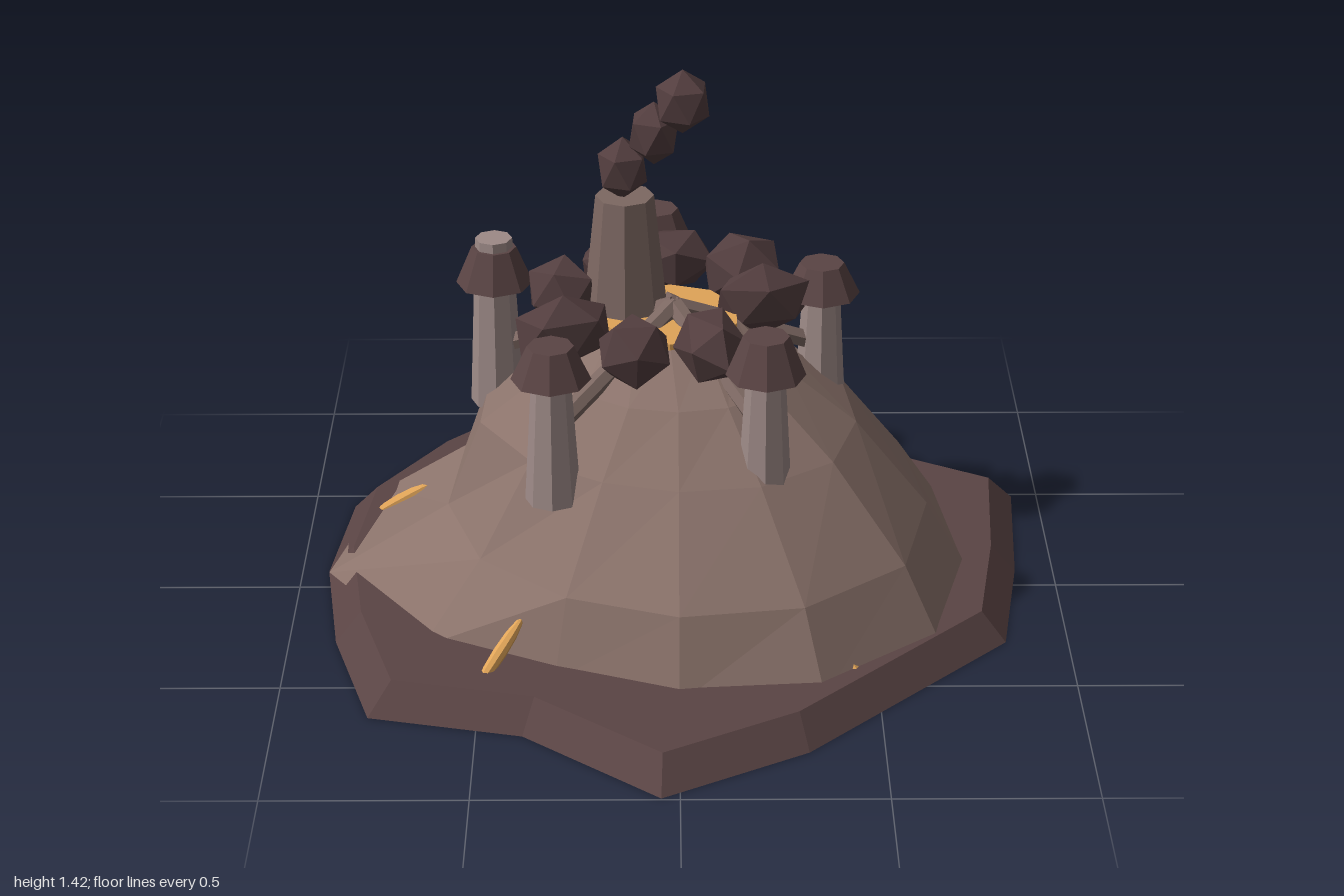
import * as THREE from 'three';

const mat = (color, side = THREE.FrontSide) => new THREE.MeshStandardMaterial({ color, flatShading: true, side });

// Loft closed rings of points (counter-clockwise order x -> z) from bottom to top.
function loft(rings, cap) {
  const n = rings[0].length, pos = rings.flat(2), idx = [];
  for (let r = 0; r < rings.length - 1; r++) {
    for (let i = 0; i < n; i++) {
      const a = r * n + i, b = r * n + (i + 1) % n;
      idx.push(a, a + n, b, b, a + n, b + n);
    }
  }
  if (cap) {
    const last = (rings.length - 1) * n, y = rings[rings.length - 1][0][1];
    pos.push(0, y, 0);
    for (let i = 0; i < n; i++) idx.push(pos.length / 3 - 1, last + (i + 1) % n, last + i);
  }
  const g = new THREE.BufferGeometry();
  g.setAttribute('position', new THREE.Float32BufferAttribute(pos, 3));
  g.setIndex(idx);
  const flat = g.toNonIndexed();
  flat.computeVertexNormals();
  return flat;
}

export function createModel() {
  const model = new THREE.Group();
  model.name = 'volcanoForge';
  const dark = mat(0x5a4444), darkOpen = mat(0x5a4444, THREE.DoubleSide);
  const rockMat = mat(0x533e3f), earth = mat(0x8b736b, THREE.DoubleSide);
  const stone = mat(0x9d8a87), pipeMat = mat(0x7d6862), lava = mat(0xe0a458);

  const add = (name, geo, material, x = 0, y = 0, z = 0, parent = model) => {
    const m = new THREE.Mesh(geo, material);
    m.name = name;
    m.position.set(x, y, z);
    parent.add(m);
    return m;
  };

  // Irregular slab, open underneath
  const outline = [
    [0.93, -0.487], [0.90, -0.08], [0.84, 0.29], [0.315, 0.80], [-0.045, 0.995],
    [-0.385, 0.725], [-0.77, 0.64], [-0.88, 0.28], [-0.93, -0.08], [-0.89, -0.44],
    [-0.70, -0.73], [-0.43, -1.0], [-0.05, -0.98], [0.30, -0.935], [0.56, -0.69],
  ];
  add('groundSlab', loft([
    outline.map(([x, z]) => [x, 0, z]),
    outline.map(([x, z]) => [x * 0.925, 0.08, z * 0.925]),
  ], true), darkOpen);

  // Mountain: radii every 30 degrees for each height
  const levels = [
    [0.045, [0.77, 0.77, 0.72, 0.65, 0.62, 0.75, 0.92, 0.93, 0.94, 0.83, 0.80, 0.83]],
    [0.25, [0.65, 0.66, 0.62, 0.58, 0.56, 0.58, 0.60, 0.66, 0.70, 0.65, 0.68, 0.69]],
    [0.49, [0.46, 0.45, 0.41, 0.38, 0.38, 0.43, 0.51, 0.57, 0.61, 0.62, 0.57, 0.50]],
    [0.64, [0.28, 0.27, 0.25, 0.24, 0.25, 0.28, 0.33, 0.37, 0.38, 0.38, 0.35, 0.31]],
  ];
  const rings = levels.map(([y, radii]) => radii.map((r, i) => {
    const a = i * Math.PI / 6;
    return [r * Math.cos(a), y, r * Math.sin(a)];
  }));
  rings.push(levels[0][1].map((_, i) => {
    const a = i * Math.PI / 6;
    return [-0.02 + 0.17 * Math.cos(a), 0.745, -0.09 + 0.17 * Math.sin(a)];
  }));
  add('mountain', loft(rings, false), earth);

  // Molten pool in the crater
  add('lavaPool', new THREE.CylinderGeometry(0.18, 0.18, 0.02, 10), lava, -0.02, 0.745, -0.09);

  // Boulders round the crater: x, y, z, then half sizes and turn
  const boulders = [
    [-0.02, 0.78, -0.38, 0.13, 0.09, 0.09, 0.2],
    [-0.18, 0.80, -0.30, 0.08, 0.08, 0.08, 0.9],
    [0.17, 0.78, -0.32, 0.12, 0.10, 0.10, 0.5],
    [0.22, 0.77, -0.15, 0.14, 0.10, 0.07, 0.25],
    [0.08, 0.79, 0.165, 0.09, 0.10, 0.12, 0.4],
    [-0.11, 0.76, 0.14, 0.10, 0.10, 0.09, 0.1],
    [-0.29, 0.78, 0.06, 0.14, 0.10, 0.08, 0.35],
    [-0.30, 0.79, -0.15, 0.10, 0.10, 0.085, -0.3],
  ];
  boulders.forEach(([x, y, z, sx, sy, sz, turn], i) => {
    const geo = new THREE.IcosahedronGeometry(1, 0).rotateX(i * 0.7).scale(sx, sy, sz);
    add('boulder', geo, rockMat, x, y, z).rotation.y = turn;
  });

  // Ring of capped pillars, each fed by a pipe from the crater
  const up = new THREE.Vector3(0, 1, 0);
  const hub = new THREE.Vector3(-0.01, 0.78, -0.09);
  const pillars = [ // x, z, foot, eave, cap top
    [-0.055, -0.53, 0.42, 0.76, 0.86],
    [0.375, -0.22, 0.40, 0.755, 0.84],
    [0.215, 0.28, 0.40, 0.765, 0.87],
    [-0.315, 0.28, 0.42, 0.755, 0.845],
    [-0.475, -0.215, 0.45, 0.79, 0.89],
  ];
  pillars.forEach(([x, z, foot, eave, top], i) => {
    const pillar = new THREE.Group();
    pillar.name = 'pillar';
    model.add(pillar);
    const shaftTop = i === 4 ? 0.915 : eave + 0.02;
    add('pillarShaft', new THREE.CylinderGeometry(0.048, 0.07, shaftTop - foot, 8), stone,
      x, (shaftTop + foot) / 2, z, pillar);
    add('pillarCap', new THREE.CylinderGeometry(0.058, 0.1, top - eave, 8), dark,
      x, (top + eave) / 2, z, pillar);

    const end = new THREE.Vector3(x, 0.61, z), dir = end.clone().sub(hub);
    const mid = hub.clone().add(end).multiplyScalar(0.5);
    const pipe = add('pipe', new THREE.CylinderGeometry(0.026, 0.026, dir.length(), 6), pipeMat, mid.x, mid.y, mid.z);
    pipe.quaternion.setFromUnitVectors(up, dir.normalize());
  });

  // Chimney and its plume of smoke
  add('chimney', new THREE.CylinderGeometry(0.075, 0.115, 0.38, 8), pipeMat, -0.135, 0.87, -0.155);
  [[-0.14, 1.135, -0.155, 0.07, 0.085], [-0.06, 1.24, -0.13, 0.07, 0.085], [0.012, 1.34, -0.092, 0.075, 0.085]]
    .forEach(([x, y, z, r, h], i) => {
      const geo = new THREE.IcosahedronGeometry(1, 0).rotateZ(0.55).rotateY(i * 0.6).scale(r, h, r);
      add('smokePuff', geo, rockMat, x, y, z);
    });

  // Glowing slivers running down the foot of the mountain
  [[264.5, 0.79, 0.115], [200, 0.80, 0.11], [131, 0.68, 0.11], [51, 0.68, 0.075], [340, 0.75, 0.065]]
    .forEach(([deg, r, y]) => {
      const a = THREE.MathUtils.degToRad(deg);
      const sliver = add('lavaSliver', new THREE.SphereGeometry(1, 8, 6).scale(0.018, 0.105, 0.018), lava,
        r * Math.cos(a), y, r * Math.sin(a));
      sliver.quaternion.setFromUnitVectors(up, new THREE.Vector3(Math.cos(a), -0.75, Math.sin(a)).normalize());
    });

  return model;
}
